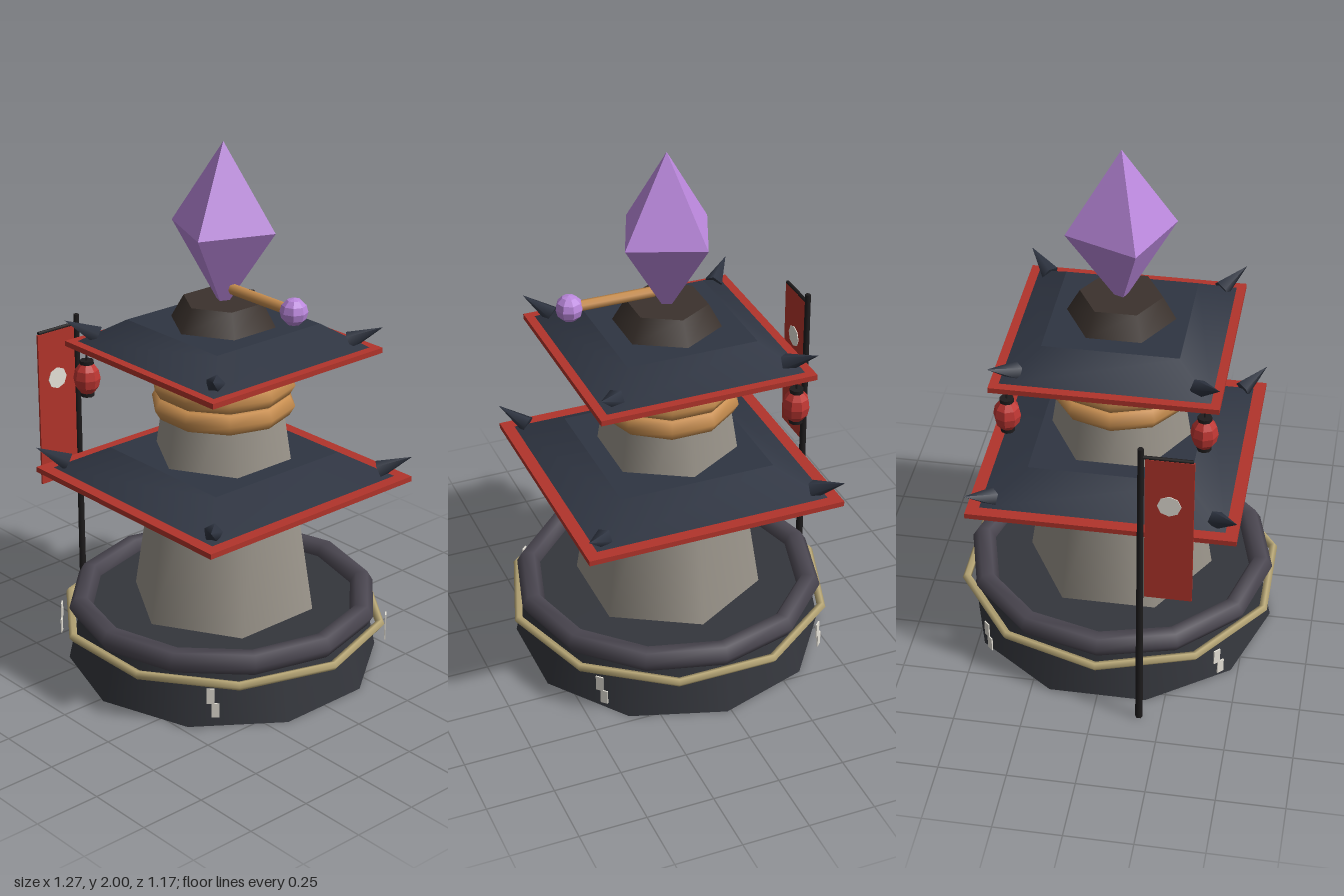
import * as THREE from 'three';

const COLORS = {
  base: 0x34363c, kerb: 0x4b4751, rope: 0xb9a877, stone: 0x9b958b, roof: 0x2f3542,
  red: 0xb2342b, bronze: 0xc98f50, brown: 0x3b322d, crystal: 0xbb88dd,
  black: 0x1e1c1d, paper: 0xe6e2d8, lantern: 0xbf3733,
};

function mesh(name, geometry, color, parent, pos = [0, 0, 0], flat = false) {
  const material = new THREE.MeshStandardMaterial({ color: COLORS[color], flatShading: flat });
  const m = new THREE.Mesh(geometry, material);
  m.name = name;
  m.position.set(...pos);
  parent.add(m);
  return m;
}

function group(name, parent, pos = [0, 0, 0]) {
  const g = new THREE.Group();
  g.name = name;
  g.position.set(...pos);
  parent.add(g);
  return g;
}

// Tapered prism standing between two heights
function prism(name, rBottom, rTop, y0, y1, sides, color, parent) {
  return mesh(name, new THREE.CylinderGeometry(rTop, rBottom, y1 - y0, sides), color, parent, [0, (y0 + y1) / 2, 0]);
}

// Horizontal ring
function ring(name, radius, tube, y, radial, segments, color, parent) {
  const m = mesh(name, new THREE.TorusGeometry(radius, tube, radial, segments), color, parent, [0, y, 0]);
  m.rotation.x = Math.PI / 2;
  return m;
}

// Square roof: red eave, sloped tiles and four upturned corner horns
function addRoof(name, parent, y, eave, bottom, top) {
  const g = group(name, parent, [0, y, 0]);
  mesh('eave', new THREE.BoxGeometry(eave * 2, 0.02, eave * 2), 'red', g, [0, 0.01, 0]);
  const tiles = prism('tiles', bottom * Math.SQRT2, top * Math.SQRT2, 0.02, 0.107, 4, 'roof', g);
  tiles.rotation.y = Math.PI / 4;
  for (const sx of [-1, 1]) for (const sz of [-1, 1]) {
    const root = new THREE.Vector3(sx * (eave - 0.085), 0.043, sz * (eave - 0.085));
    const tip = new THREE.Vector3(sx * eave, 0.098, sz * eave);
    const dir = tip.clone().sub(root);
    const horn = mesh('cornerHorn', new THREE.ConeGeometry(0.035, dir.length(), 5), 'roof', g,
      root.clone().add(tip).multiplyScalar(0.5).toArray());
    horn.quaternion.setFromUnitVectors(new THREE.Vector3(0, 1, 0), dir.normalize());
  }
}

// Hanging lantern with dark caps and a cord
function addLantern(parent, x, z) {
  const g = group('lantern', parent, [x, 1.105, z]);
  const body = mesh('lanternBody', new THREE.SphereGeometry(0.05, 8, 6), 'lantern', g, [0, 0, 0], true);
  body.scale.y = 1.3;
  for (const y of [-0.062, 0.062])
    mesh('lanternCap', new THREE.CylinderGeometry(0.026, 0.026, 0.014, 8), 'black', g, [0, y, 0]);
  mesh('lanternCord', new THREE.CylinderGeometry(0.004, 0.004, 0.06, 5), 'black', g, [0, 0.095, 0]);
}

// Pole with a crossbar, hanging cloth and a plain disc
function addBanner(parent) {
  const g = group('banner', parent, [-0.642, 0, 0.17]);
  mesh('bannerPole', new THREE.CylinderGeometry(0.011, 0.014, 1.23, 6), 'black', g, [0, 0.615, 0]);
  const bar = mesh('bannerCrossbar', new THREE.CylinderGeometry(0.007, 0.007, 0.18, 5), 'black', g, [0, 1.195, 0.09]);
  bar.rotation.x = Math.PI / 2;
  mesh('bannerCloth', new THREE.BoxGeometry(0.008, 0.605, 0.17), 'red', g, [0, 0.887, 0.1]);
  const disc = mesh('bannerDisc', new THREE.CylinderGeometry(0.042, 0.042, 0.014, 8), 'paper', g, [0, 1.0, 0.1]);
  disc.rotation.z = Math.PI / 2;
}

export function createModel() {
  const model = new THREE.Group();
  model.name = 'shrineTower';
  const tower = group('tower', model, [0.016, 0, 0]);

  // Plinth with kerb ring and rope
  prism('plinth', 0.585, 0.535, 0, 0.235, 10, 'base', tower);
  ring('kerbRing', 0.54, 0.045, 0.24, 6, 12, 'kerb', tower);
  ring('ropeRing', 0.6, 0.017, 0.183, 5, 10, 'rope', tower);

  // Zigzag paper strips hanging from the rope on the diagonals
  for (let i = 0; i < 4; i++) {
    const strip = group('paperStrip', tower);
    strip.rotation.y = Math.PI / 4 + i * Math.PI / 2;
    mesh('stripUpper', new THREE.BoxGeometry(0.028, 0.06, 0.005), 'paper', strip, [-0.008, 0.15, 0.615]);
    mesh('stripLower', new THREE.BoxGeometry(0.028, 0.055, 0.005), 'paper', strip, [0.01, 0.094, 0.615]);
  }

  // Shaft, bronze bands and two roofs
  prism('shaft', 0.352, 0.2, 0.23, 1.225, 6, 'stone', tower);
  for (const y of [1.03, 1.11, 1.19]) ring('bronzeBand', 0.225, 0.042, y, 6, 10, 'bronze', tower);
  addRoof('lowerRoof', tower, 0.725, 0.49, 0.445, 0.295);
  addRoof('upperRoof', tower, 1.227, 0.405, 0.372, 0.245);

  // Crystal on its socket
  prism('crystalSocket', 0.2, 0.15, 1.33, 1.42, 6, 'brown', tower);
  const crystal = mesh('crystal', new THREE.OctahedronGeometry(1), 'crystal', tower, [0, 1.69, 0], true);
  crystal.scale.set(0.203, 0.31, 0.203);
  crystal.rotation.y = 0.4;

  // Side striker with a round head
  const rod = mesh('strikerRod', new THREE.CylinderGeometry(0.02, 0.02, 0.3, 7), 'bronze', tower, [0.2, 1.47, 0]);
  rod.rotation.z = Math.PI / 2;
  mesh('strikerHead', new THREE.SphereGeometry(0.05, 8, 6), 'crystal', tower, [0.367, 1.47, 0], true);

  for (const z of [-0.35, 0.35]) addLantern(tower, -0.352, z);
  addBanner(tower);
  return model;
}
